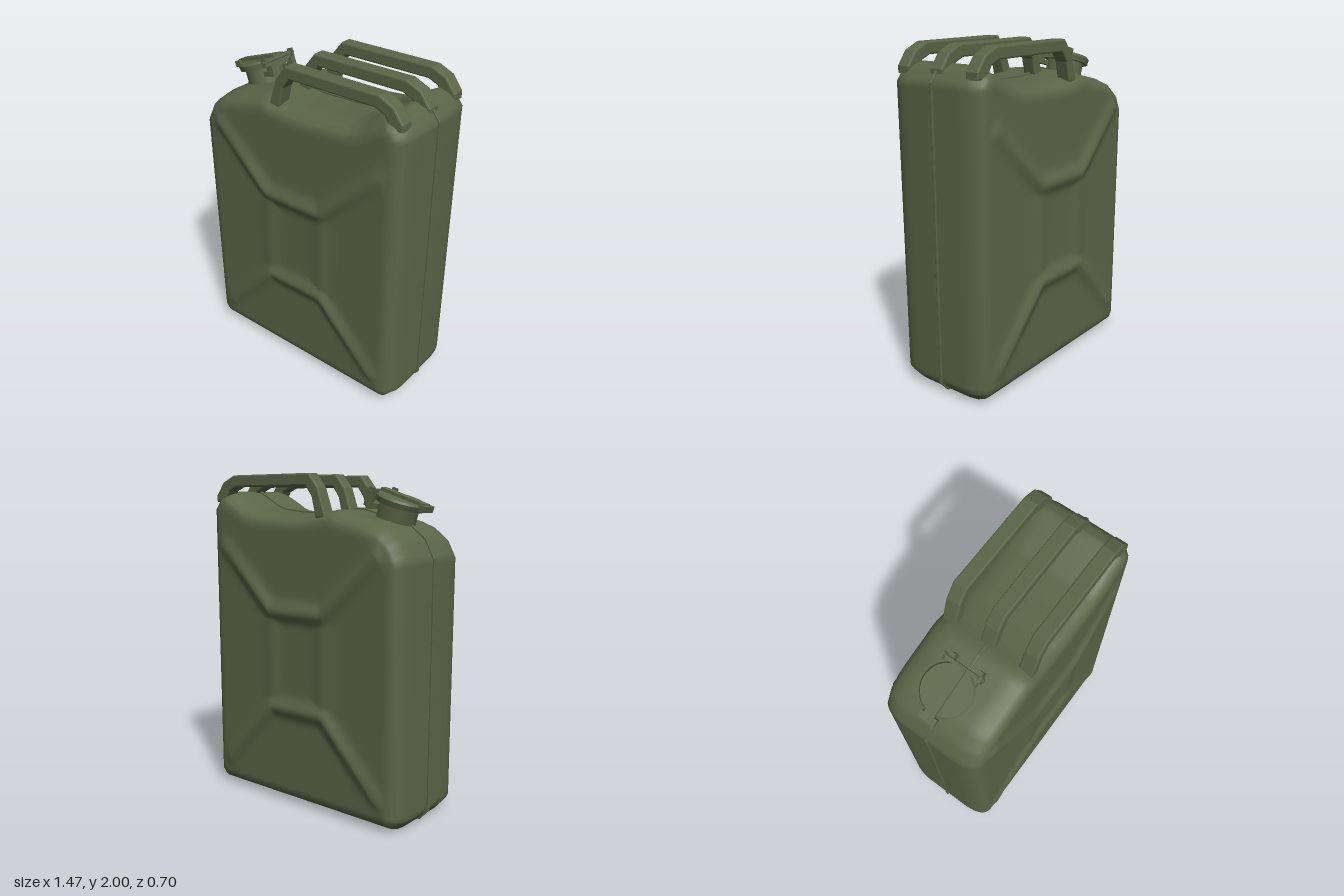
import * as THREE from 'three';

// Side outline of the can, counter-clockwise seen from the front
const OUTLINE = [
  [-0.67, 0.012], [0.67, 0.012], [0.725, 0.075], [0.725, 1.81], [0.67, 1.88], [0.6, 1.905],
  [0.5, 1.855], [0.43, 1.815], [0.36, 1.79], [0.2, 1.775], [0, 1.77], [-0.13, 1.78],
  [-0.2, 1.797], [-0.25, 1.797], [-0.35, 1.77], [-0.5, 1.735], [-0.58, 1.705],
  [-0.67, 1.635], [-0.725, 1.53], [-0.725, 0.075],
].map(([x, y]) => new THREE.Vector2(x, y));

// Mitred inward offset of a polygon (negative grows it)
function inset(points, d) {
  const n = points.length;
  return points.map((p, i) => {
    const a = p.clone().sub(points[(i + n - 1) % n]).normalize();
    const b = points[(i + 1) % n].clone().sub(p).normalize();
    const na = new THREE.Vector2(-a.y, a.x), nb = new THREE.Vector2(-b.y, b.x);
    return p.clone().addScaledVector(na.clone().add(nb), d / (1 + na.dot(nb)));
  });
}

// Splits every outline edge into the same number of steps, whatever the offset
const STEPS = OUTLINE.map((p, i) => Math.ceil(p.distanceTo(OUTLINE[(i + 1) % OUTLINE.length]) / 0.03));
function subdivide(points) {
  return points.flatMap((p, i) => Array.from({ length: STEPS[i] }, (_, k) =>
    p.clone().lerp(points[(i + 1) % points.length], k / STEPS[i])));
}

// Distance from a point to a segment
function segmentDistance(x, y, [x1, y1, x2, y2]) {
  const dx = x2 - x1, dy = y2 - y1;
  const t = THREE.MathUtils.clamp(((x - x1) * dx + (y - y1) * dy) / (dx * dx + dy * dy), 0, 1);
  return Math.hypot(x - x1 - t * dx, y - y1 - t * dy);
}

// Pressed X-shaped ribs with a shallow central frame
const RIBS = [
  [-0.58, 1.56, -0.2, 1.2], [-0.2, 1.2, 0.2, 1.2], [0.2, 1.2, 0.58, 1.56],
  [-0.58, 0.2, -0.2, 0.61], [-0.2, 0.61, 0.2, 0.61], [0.2, 0.61, 0.58, 0.2],
];
const FRAME = [[-0.2, 0.61, -0.2, 1.2], [0.2, 0.61, 0.2, 1.2]];
function ribHeight(x, y) {
  const bump = (list, width) => Math.exp(-((Math.min(...list.map((s) => segmentDistance(x, y, s))) / width) ** 2));
  const height = THREE.MathUtils.lerp(0.031, 0.018, THREE.MathUtils.smoothstep(Math.abs(x), 0.2, 0.6));
  return Math.max(height * bump(RIBS, 0.05), 0.012 * bump(FRAME, 0.06));
}

// Body: rings from the front centre, over the rounded edge, to the back centre
function bodyGeometry() {
  const half = [];
  const edge = [[0, 0], [0, 0.17], [0.007, 0.23], [0.022, 0.275], [0.043, 0.302], [0.065, 0.314], [0.09, 0.318]];
  for (const [d, z] of edge) {
    half.push(subdivide(inset(OUTLINE, d)).map((p) => [p.x, p.y, z]));
  }
  const last = half[half.length - 1], centreY = 0.9, FACE = 40;
  for (let k = 1; k <= FACE; k++) {
    const s = 1 - k / FACE;
    half.push(last.map(([px, py]) => {
      const x = px * s, y = centreY + (py - centreY) * s;
      return [x, y, 0.318 + ribHeight(x, y)];
    }));
  }
  const back = half.slice(1).map((ring) => ring.map(([x, y, z]) => [x, y, -z]));
  const rings = [...half.slice().reverse(), ...back];
  const n = last.length, index = [];
  for (let k = 0; k < rings.length - 1; k++) {
    for (let i = 0; i < n; i++) {
      const j = (i + 1) % n;
      const a = k * n + i, b = k * n + j, c = b + n, d = a + n;
      index.push(a, d, c, a, c, b);
    }
  }
  const geometry = new THREE.BufferGeometry();
  geometry.setAttribute('position', new THREE.Float32BufferAttribute(rings.flat(2), 3));
  geometry.setIndex(index);
  geometry.computeVertexNormals();
  return geometry;
}

// Extrudes a polygon centred on z = 0
function plate(points, depth, bevel = 0) {
  const geometry = new THREE.ExtrudeGeometry(new THREE.Shape(points), {
    depth: depth - 2 * bevel, bevelEnabled: bevel > 0,
    bevelThickness: bevel, bevelSize: bevel, bevelOffset: -bevel, bevelSegments: 2,
  });
  return geometry.translate(0, 0, bevel - depth / 2);
}

export function createModel() {
  const olive = new THREE.MeshStandardMaterial({ color: 0x5b6547 });
  olive.name = 'olive paint';
  const model = new THREE.Group();
  model.name = 'fuelCan';

  function add(parent, name, geometry, x = 0, y = 0, z = 0) {
    const mesh = new THREE.Mesh(geometry, olive);
    mesh.name = name;
    mesh.position.set(x, y, z);
    parent.add(mesh);
    return mesh;
  }
  const box = (w, h, d) => new THREE.BoxGeometry(w, h, d);
  const disc = (rTop, rBottom, h) => new THREE.CylinderGeometry(rTop, rBottom, h, 40);

  add(model, 'body', bodyGeometry());
  add(model, 'weldSeam', plate(inset(OUTLINE, -0.01), 0.018, 0.003));

  // Three parallel carrying handles
  const handleShape = [
    [-0.195, 1.75], [-0.135, 1.92], [-0.07, 2], [0.54, 2], [0.63, 1.96], [0.69, 1.88], [0.69, 1.84],
    [0.62, 1.84], [0.58, 1.905], [0.52, 1.93], [-0.045, 1.93], [-0.09, 1.87], [-0.12, 1.75],
  ].map(([x, y]) => new THREE.Vector2(x, y)).reverse();
  [['rightHandle', -0.246], ['middleHandle', -0.002], ['leftHandle', 0.242]].forEach(([name, z]) =>
    add(model, name, plate(handleShape, 0.085, 0.009), 0, 0, z));

  // Tilted spout with its hinged cap
  const spout = new THREE.Group();
  spout.name = 'spout';
  spout.position.set(-0.465, 1.72, 0);
  spout.rotation.z = THREE.MathUtils.degToRad(18.5);
  model.add(spout);
  add(spout, 'neck', disc(0.112, 0.115, 0.18), 0, 0.025, 0);
  add(spout, 'capRim', disc(0.145, 0.138, 0.032), 0, 0.122, 0);
  add(spout, 'capTop', disc(0.135, 0.145, 0.012), 0, 0.144, 0);
  add(spout, 'capLever', box(0.3, 0.022, 0.06), -0.015, 0.156, 0);
  add(spout, 'leverTab', box(0.04, 0.036, 0.1), -0.165, 0.142, 0);
  add(spout, 'hingePlate', box(0.02, 0.06, 0.2), 0.135, 0.125, 0);
  const pin = add(spout, 'hingePin', new THREE.CylinderGeometry(0.009, 0.009, 0.265, 12), 0.14, 0.14, 0);
  pin.rotation.x = Math.PI / 2;
  for (const side of [-1, 1]) {
    add(spout, 'hingeLug', box(0.045, 0.065, 0.032), 0.15, 0.085, side * 0.086);
    add(spout, 'hingeEar', box(0.036, 0.05, 0.014), 0.136, 0.14, side * 0.115);
    add(spout, 'neckBracket', box(0.06, 0.028, 0.03), 0.115, 0.07, side * 0.08);
  }
  return model;
}
